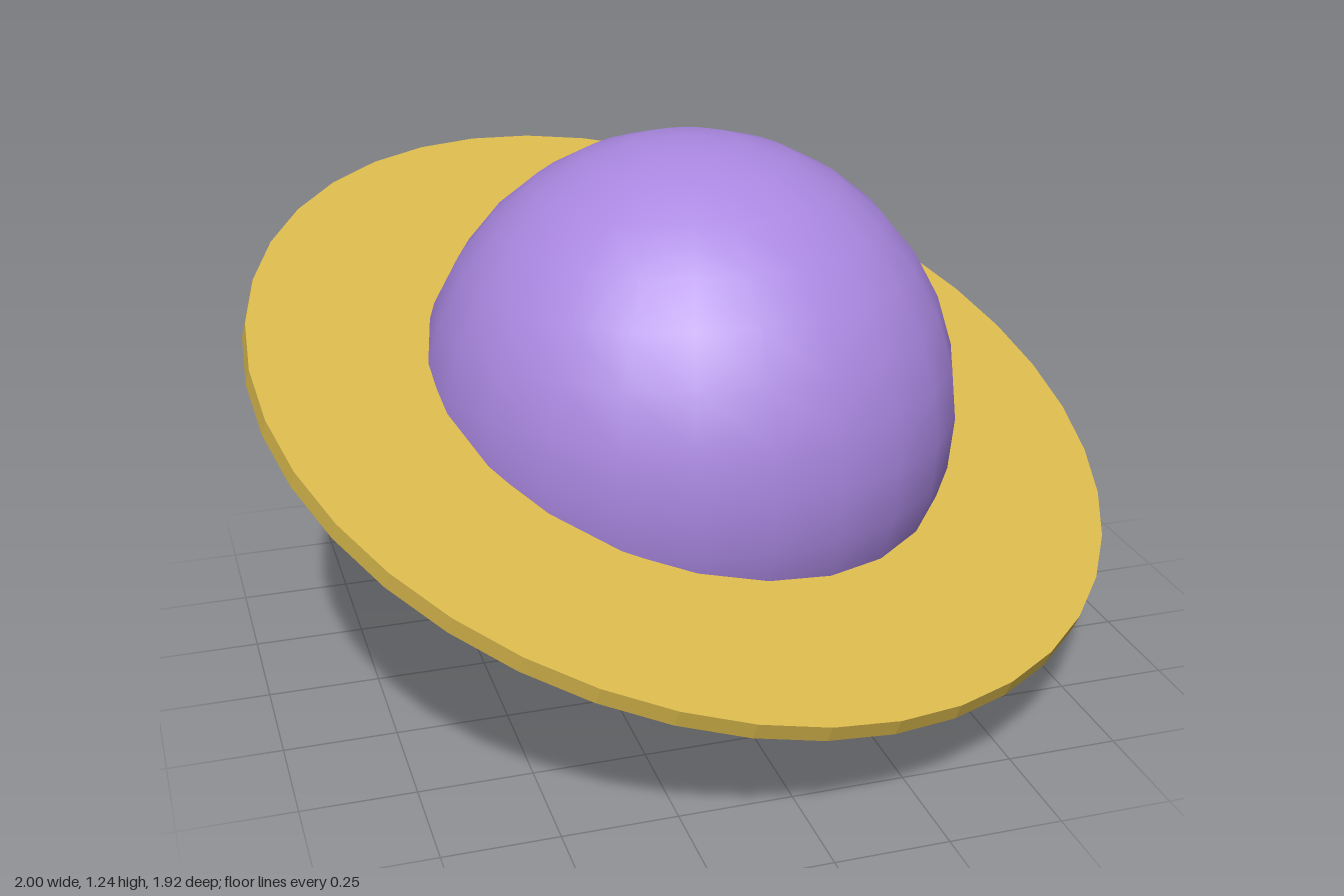
import * as THREE from 'three';

const CENTER_Y = 0.62;
const PLANET_RADIUS = 0.618;
const RING = { inner: 0.56, outer: 1.016, thickness: 0.04, sides: 40 };

export function createModel() {
  const model = new THREE.Group();
  model.name = 'ringedPlanet';

  const purple = new THREE.MeshStandardMaterial({ color: 0xa987e0 });
  purple.name = 'planetPurple';
  const gold = new THREE.MeshStandardMaterial({ color: 0xdab94d, flatShading: true });
  gold.name = 'ringGold';

  // Smooth globe
  const planet = new THREE.Mesh(new THREE.SphereGeometry(PLANET_RADIUS, 24, 16), purple);
  planet.name = 'planet';
  planet.position.y = CENTER_Y;
  model.add(planet);

  // Flat ring: a rectangular section turned about the axis, its inner edge sunk in the globe
  const { inner, outer, thickness, sides } = RING;
  const h = thickness / 2;
  const section = [[outer, -h], [outer, h], [inner, h], [inner, -h], [outer, -h]]
    .map(([r, y]) => new THREE.Vector2(r, y));
  const ring = new THREE.Mesh(new THREE.LatheGeometry(section, sides), gold);
  ring.name = 'ring';
  ring.position.y = CENTER_Y;
  ring.rotation.set(0.35, 0, -0.2); // tips down toward the front and the left
  model.add(ring);

  return model;
}
